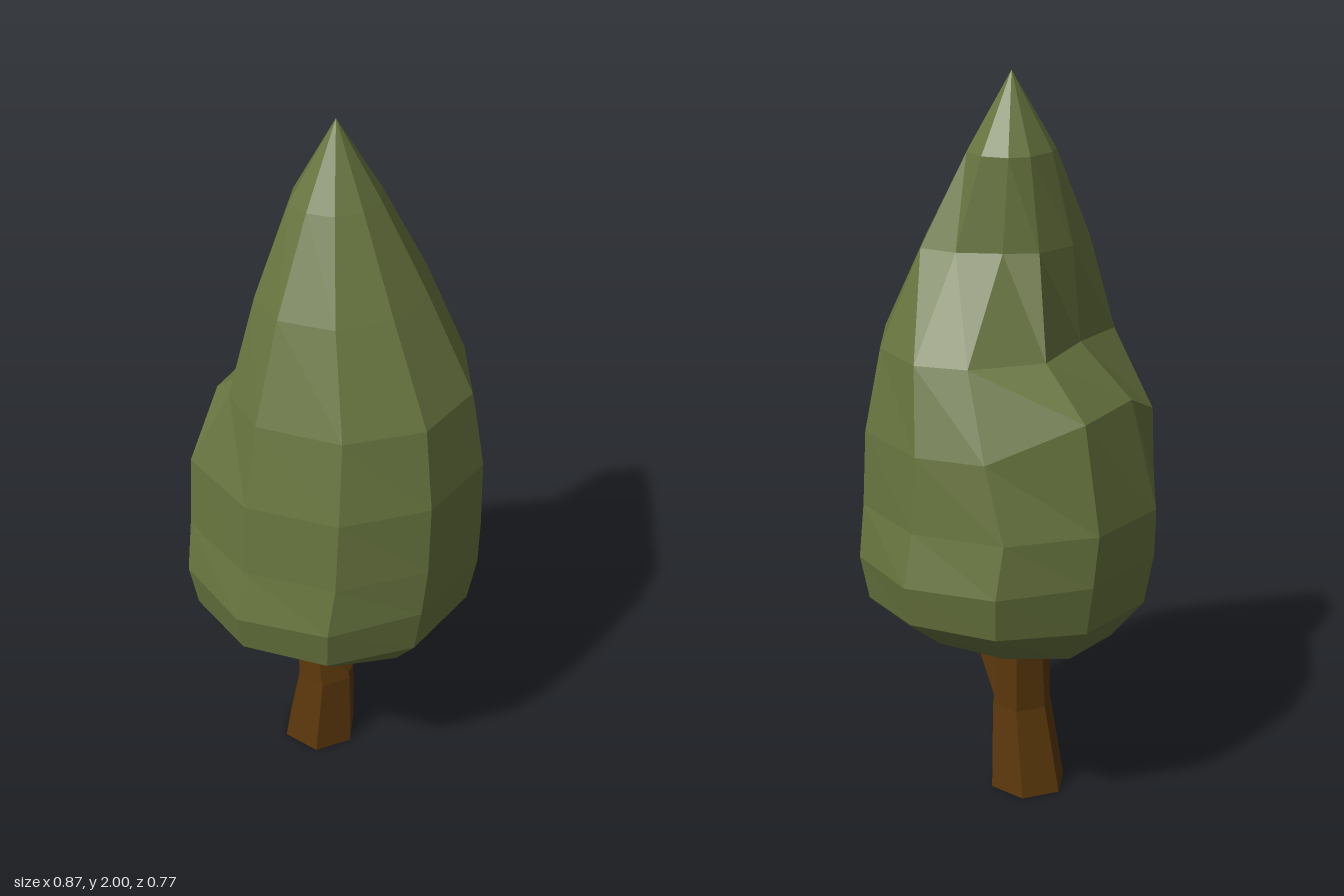
import * as THREE from 'three';

const leafMat = new THREE.MeshStandardMaterial({ color: 0x68753f, flatShading: true });
const barkMat = new THREE.MeshStandardMaterial({ color: 0x5c380c, flatShading: true });

// Skin rings of [x, y, z] points, listed top to bottom; a one-point ring closes an end.
function loft(name, rings, sides, material) {
  const pos = [];
  for (let i = 0; i < rings.length - 1; i++) {
    const up = rings[i], low = rings[i + 1];
    for (let k = 0; k < sides; k++) {
      const at = (ring, j) => ring[j % ring.length];
      const a = at(up, k), b = at(up, k + 1), c = at(low, k), d = at(low, k + 1);
      if (up.length > 1) pos.push(...a, ...b, ...c);
      if (low.length > 1) pos.push(...(up.length > 1 ? b : a), ...d, ...c);
    }
  }
  const geo = new THREE.BufferGeometry();
  geo.setAttribute('position', new THREE.Float32BufferAttribute(pos, 3));
  geo.computeVertexNormals();
  const mesh = new THREE.Mesh(geo, material);
  mesh.name = name;
  return mesh;
}

// Horizontal ring; lift raises the points at the +x and -x sides.
function ring(sides, x, y, z, rx, rz, turn = 0, lift = 0) {
  return Array.from({ length: sides }, (_, k) => {
    const t = turn + (k / sides) * Math.PI * 2;
    return [x + rx * Math.cos(t), y + lift * Math.cos(t) ** 2, z + rz * Math.sin(t)];
  });
}

function createFoliage() {
  // height, x radius, z radius, side lift
  const profile = [
    [1.8, 0.12, 0.115, 0],
    [1.56, 0.24, 0.24, 0],
    [1.3, 0.335, 0.37, 0],
    [1.08, 0.387, 0.405, 0],
    [0.88, 0.405, 0.405, 0],
    [0.74, 0.437, 0.395, 0],
    [0.6, 0.415, 0.37, 0.03],
    [0.49, 0.3, 0.285, 0.045],
    [0.45, 0.12, 0.15, 0.01],
  ];
  const rings = profile.map(([y, rx, rz, lift]) => ring(10, 0, y, 0, rx, rz, 0, lift));

  // Dents and the ledge at the back: ring, corner, x, y, z
  const dents = [
    [0, 7, -0.04, 1.8, -0.1], [0, 8, 0.05, 1.8, -0.1],
    [1, 0, 0.175, 1.56, 0.04], [1, 6, -0.19, 1.56, -0.11], [1, 7, -0.07, 1.56, -0.145],
    [1, 8, 0.05, 1.56, -0.13], [1, 9, 0.11, 1.56, -0.06],
    [2, 0, 0.335, 1.3, 0.045], [2, 6, -0.265, 1.3, -0.14], [2, 7, -0.1, 1.3, -0.15],
    [2, 8, 0.11, 1.3, -0.2], [2, 9, 0.28, 1.3, -0.085],
    [3, 7, -0.11, 1.17, -0.31], [3, 8, 0.13, 1.17, -0.34], [3, 9, 0.325, 1.08, -0.175],
  ];
  for (const [i, k, ...p] of dents) rings[i][k] = p;

  return loft('foliage', [[[0, 2, 0]], ...rings, [[0, 0.5, 0]]], 10, leafMat);
}

export function createModel() {
  const model = new THREE.Group();
  model.name = 'tree';
  const turn = Math.PI / 6;

  // Trunk leaning slightly forward, with a flared foot
  const trunk = loft('trunk', [
    [[-0.015, 0.6, -0.04]],
    ring(6, -0.015, 0.6, -0.04, 0.08, 0.055, turn),
    ring(6, -0.015, 0.42, -0.036, 0.086, 0.06, turn),
    ring(6, -0.022, 0.25, -0.018, 0.087, 0.083, turn),
    ring(6, -0.022, 0, -0.042, 0.108, 0.11, turn),
    [[-0.022, 0, -0.042]],
  ], 6, barkMat);

  // Short fork rising forward into the leaves
  const branch = loft('branch', [
    [[0.01, 0.55, 0.13]],
    ring(5, 0.01, 0.55, 0.13, 0.04, 0.04, turn),
    ring(5, 0.0, 0.4, 0.065, 0.045, 0.045, turn),
    ring(5, -0.01, 0.24, 0.0, 0.05, 0.05, turn),
    [[-0.01, 0.24, 0.0]],
  ], 5, barkMat);

  model.add(createFoliage(), trunk, branch);
  return model;
}
